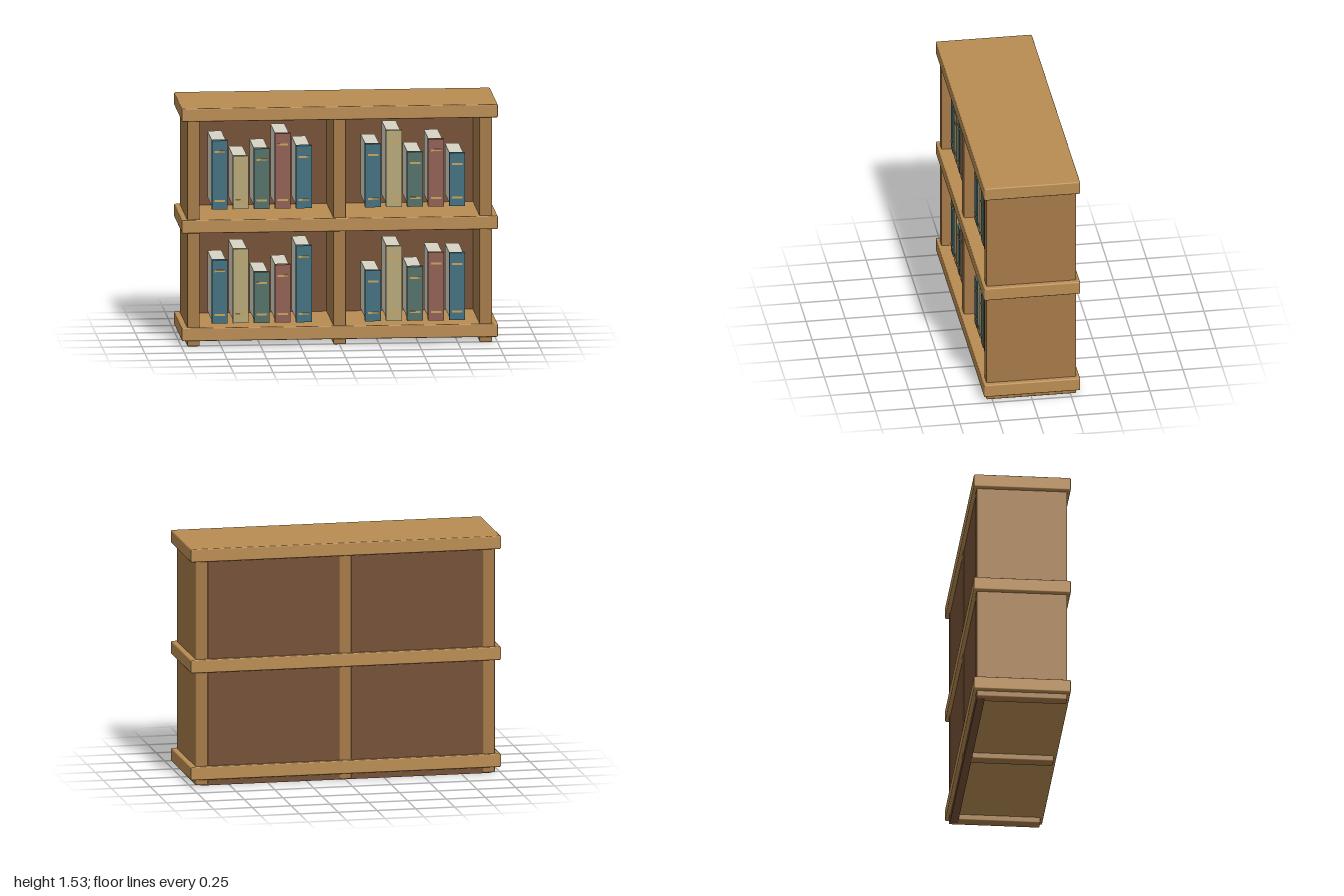
import * as THREE from 'three';
import { RoundedBoxGeometry } from 'three/addons/geometries/RoundedBoxGeometry.js';

const mat = (color) => new THREE.MeshStandardMaterial({ color });

export function createModel() {
  const group = new THREE.Group();
  const boardMat = mat(0xb98c52), uprightMat = mat(0xa57a48), panelMat = mat(0x755035);
  const pageMat = mat(0xd8d4c4), goldMat = mat(0xc9a25e);
  const coverMats = [0x41707f, 0xb5a878, 0x527068, 0x8f5f52, 0x41707f].map(mat);

  // Box given by its limits on each axis, with an optional softened edge
  function box(parent, name, material, [x0, x1], [y0, y1], [z0, z1], bevel = 0) {
    const size = [x1 - x0, y1 - y0, z1 - z0];
    const geometry = bevel
      ? new RoundedBoxGeometry(...size, 1, bevel)
      : new THREE.BoxGeometry(...size);
    const mesh = new THREE.Mesh(geometry, material);
    mesh.name = name;
    mesh.position.set((x0 + x1) / 2, (y0 + y1) / 2, (z0 + z1) / 2);
    parent.add(mesh);
  }

  // Horizontal boards
  const boards = [['bottomShelf', 0.04], ['middleShelf', 0.73], ['topBoard', 1.445]];
  for (const [name, y] of boards)
    box(group, name, boardMat, [-1, 1], [y, y + 0.085], [-0.307, 0.307], 0.008);

  // Uprights: two sides and a centre divider
  const uprights = [['rightSide', -0.925], ['centreDivider', 0], ['leftSide', 0.925]];
  for (const [name, x] of uprights)
    box(group, name, uprightMat, [x - 0.04, x + 0.04], [0.003, 1.5], [-0.287, 0.287], 0.008);

  // Back panel, set in slightly from the uprights
  box(group, 'backPanel', panelMat, [-0.93, 0.93], [0, 1.5], [-0.282, -0.232]);

  // A book: coloured spine, page block behind it, two gold bands
  function addBook(x, y, height, cover) {
    const book = new THREE.Group();
    book.name = 'book';
    const top = y + height;
    box(book, 'spine', cover, [x - 0.05, x + 0.05], [y, top], [0.2, 0.24]);
    box(book, 'pages', pageMat, [x - 0.044, x + 0.044], [y + 0.008, top - 0.01], [-0.18, 0.2]);
    for (const bandY of [y + 0.055, top - 0.07])
      box(book, 'band', goldMat, [x - 0.033, x + 0.033], [bandY - 0.006, bandY + 0.006], [0.235, 0.244]);
    group.add(book);
  }

  // Five books in each of the four bays
  const bays = [
    { x: -0.755, y: 0.14, heights: [0.405, 0.475, 0.325, 0.37, 0.49] },
    { x: 0.215, y: 0.14, heights: [0.325, 0.48, 0.345, 0.435, 0.43] },
    { x: -0.755, y: 0.87, heights: [0.44, 0.34, 0.385, 0.48, 0.4] },
    { x: 0.215, y: 0.87, heights: [0.405, 0.49, 0.35, 0.43, 0.34] },
  ];
  for (const { x, y, heights } of bays)
    heights.forEach((h, i) => addBook(x + i * 0.133, y, h, coverMats[i]));

  return group;
}
